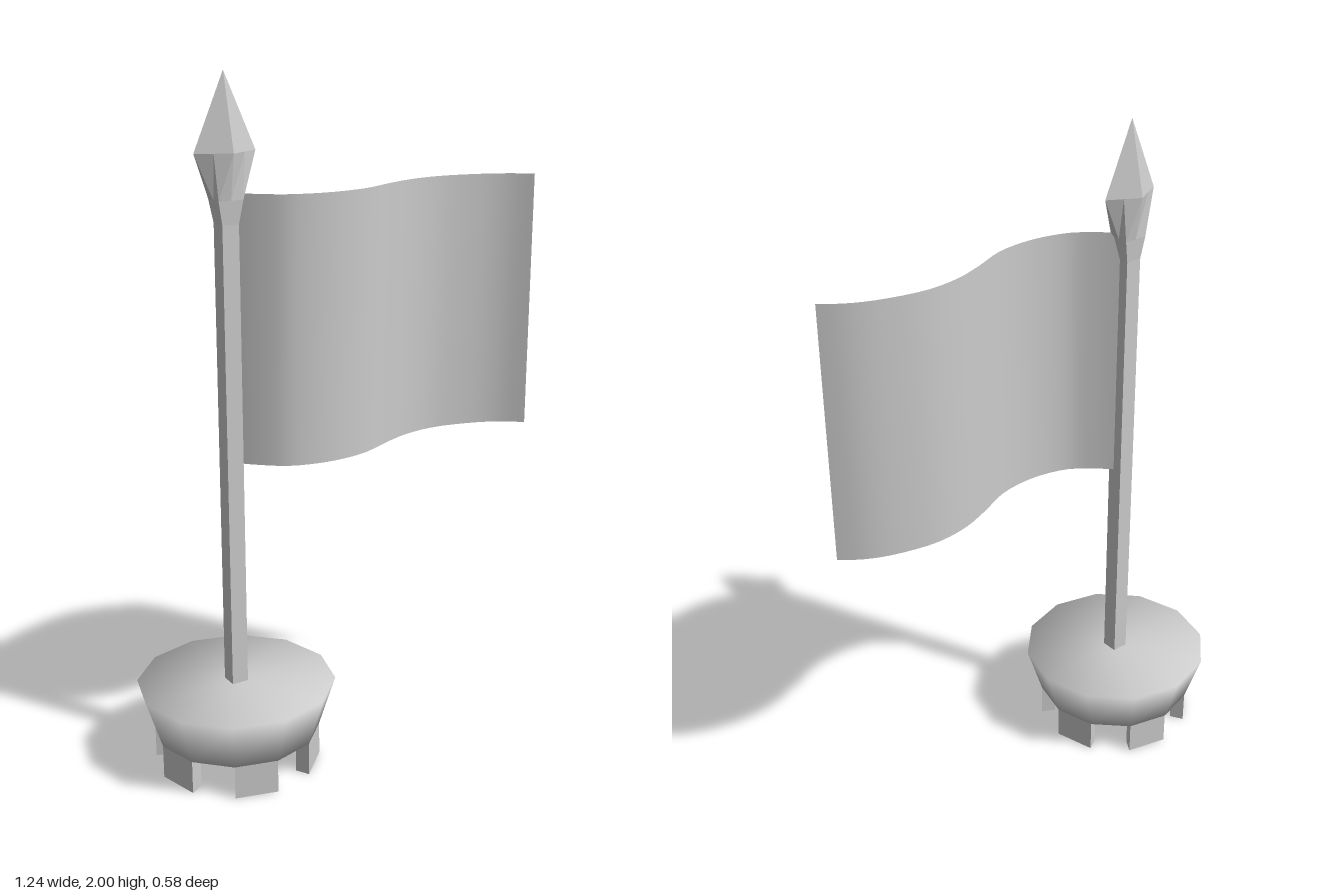
import * as THREE from 'three';
import { mergeVertices } from 'three/addons/utils/BufferGeometryUtils.js';

const POLE_X = -0.33;

function part(geometry, name, side = THREE.FrontSide) {
  const mesh = new THREE.Mesh(geometry, new THREE.MeshStandardMaterial({ color: 0xcccccc, side }));
  mesh.name = name;
  return mesh;
}

// Weld all vertices so that the shading runs over every edge
function weld(geometry) {
  geometry.deleteAttribute('normal');
  geometry.deleteAttribute('uv');
  const g = mergeVertices(geometry);
  g.computeVertexNormals();
  return g;
}

// Ring of 8 points: a square (half sizes a, b) or a diamond (tips at a, b)
function ring(y, a, b, diamond) {
  const pts = [];
  for (let i = 0; i < 8; i++) {
    const t = (i * Math.PI) / 4;
    const c = Math.cos(t), s = Math.sin(t);
    const k = diamond ? Math.abs(c) + Math.abs(s) : Math.max(Math.abs(c), Math.abs(s));
    pts.push([(a * c) / k, y, (b * s) / k]);
  }
  return pts;
}

// Skin between successive rings
function loft(rings) {
  const index = [];
  for (let r = 0; r < rings.length - 1; r++) {
    for (let i = 0; i < 8; i++) {
      const a = r * 8 + i, b = r * 8 + ((i + 1) % 8);
      index.push(a, a + 8, b, b, a + 8, b + 8);
    }
  }
  const g = new THREE.BufferGeometry();
  g.setAttribute('position', new THREE.Float32BufferAttribute(rings.flat(2), 3));
  g.setIndex(index);
  const flat = g.toNonIndexed();
  flat.computeVertexNormals();
  return flat;
}

export function createModel() {
  const model = new THREE.Group();
  const stand = new THREE.Group();
  stand.name = 'stand';
  stand.position.x = POLE_X;
  model.add(stand);

  // Flared twelve-sided base
  const base = part(weld(new THREE.CylinderGeometry(0.292, 0.244, 0.15, 12)), 'base');
  base.position.y = 0.175;
  stand.add(base);

  // Six feet under every second side of the base
  const outer = 0.244, inner = 0.2;
  for (let i = 0; i < 6; i++) {
    const t0 = Math.PI / 6 + (i * Math.PI) / 3, t1 = t0 + Math.PI / 6;
    const corner = (r, t) => new THREE.Vector2(r * Math.cos(t), r * Math.sin(t));
    const shape = new THREE.Shape([corner(inner, t0), corner(outer, t0), corner(outer, t1), corner(inner, t1)]);
    const g = new THREE.ExtrudeGeometry(shape, { depth: 0.1, bevelEnabled: false });
    g.rotateX(Math.PI / 2).translate(0, 0.1, 0);
    stand.add(part(g, 'foot'));
  }

  // Square pole
  const pole = part(new THREE.BoxGeometry(0.05, 1.36, 0.05), 'pole');
  pole.position.y = 0.93;
  stand.add(pole);

  // Spear point: square neck flaring into a diamond
  stand.add(part(loft([
    ring(1.6, 0.025, 0.025, false),
    ring(1.665, 0.037, 0.03, false),
    ring(1.79, 0.092, 0.051, true),
    ring(2.0, 0, 0, true),
  ]), 'spearPoint'));

  // Waving cloth: plan curve of (distance from pole, z)
  const wave = new THREE.SplineCurve([
    [0.02, 0], [0.07, 0.05], [0.14, 0.1], [0.25, 0.124], [0.37, 0.112], [0.48, 0.065],
    [0.58, 0.03], [0.69, 0.02], [0.81, 0.045], [0.89, 0.08], [0.95, 0.125],
  ].map(([x, z]) => new THREE.Vector2(x, z)));
  const cloth = new THREE.PlaneGeometry(1, 0.76, 32, 1);
  const pos = cloth.attributes.position;
  for (let i = 0; i < pos.count; i++) {
    const p = wave.getPoint(pos.getX(i) + 0.5);
    pos.setXYZ(i, POLE_X + p.x, pos.getY(i) + 1.3, p.y);
  }
  cloth.computeVertexNormals();
  model.add(part(cloth, 'flag', THREE.DoubleSide));

  return model;
}
